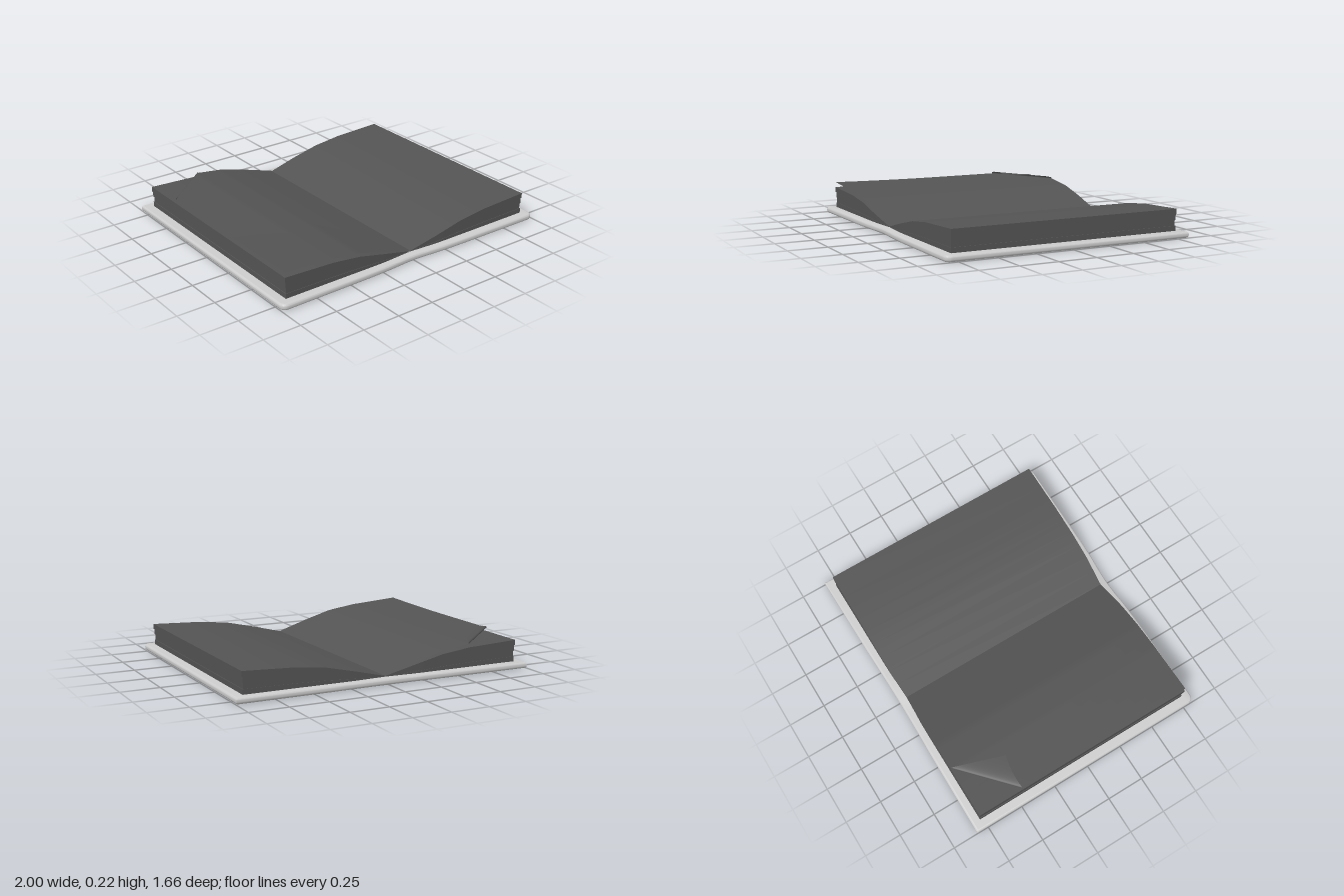
import * as THREE from 'three';
import { toCreasedNormals } from 'three/addons/utils/BufferGeometryUtils.js';
import { ParametricGeometry } from 'three/addons/geometries/ParametricGeometry.js';

const lerp = THREE.MathUtils.lerp;
const paper = new THREE.MeshStandardMaterial({ color: 0x545454, side: THREE.DoubleSide });
const board = new THREE.MeshStandardMaterial({ color: 0xcccccc });

// Piecewise-linear curve through [x, y] points
function curve(points) {
  return (x) => {
    let i = 1;
    while (i < points.length - 1 && x > points[i][0]) i++;
    const [x0, y0] = points[i - 1], [x1, y1] = points[i];
    return lerp(y0, y1, (x - x0) / (x1 - x0));
  };
}

const stackTop = curve([[0, 0.045], [0.2, 0.095], [0.4, 0.141], [0.6, 0.165], [0.95, 0.18]]);
const leafTop = curve([[0, 0.05], [0.2, 0.108], [0.4, 0.163], [0.6, 0.188], [0.94, 0.204]]);
const frontZ = curve([[0, 0.755], [0.22, 0.77], [0.95, 0.77]]);
const backZ = curve([[0, -0.764], [0.22, -0.775], [0.95, -0.775]]);

function mesh(name, geometry, material) {
  const m = new THREE.Mesh(geometry, material);
  m.name = name;
  return m;
}

// Block of pages lofted from the gutter to the outer edge
function pageBlock(side, low, high, outer, inset) {
  const stations = [0, 0.1, 0.2, 0.3, 0.4, 0.5, 0.6, 0.78, outer];
  const pos = [], idx = [];
  for (const x of stations) {
    const y = (f) => 0.038 + (stackTop(x) - 0.038) * f;
    const f = frontZ(x) - inset, b = backZ(x) + inset;
    pos.push(side * x, y(low), f, side * x, y(high), f, side * x, y(high), b, side * x, y(low), b);
  }
  const quad = (a, b, c, d) => (side > 0 ? idx.push(a, b, c, a, c, d) : idx.push(a, c, b, a, d, c));
  const last = (stations.length - 1) * 4;
  for (let r = 0; r < last; r += 4) {
    for (let k = 0; k < 4; k++) {
      const n = (k + 1) % 4;
      quad(r + k, r + 4 + k, r + 4 + n, r + n);
    }
  }
  quad(0, 1, 2, 3);
  quad(last + 3, last + 2, last + 1, last);
  const g = new THREE.BufferGeometry();
  g.setAttribute('position', new THREE.Float32BufferAttribute(pos, 3));
  g.setIndex(idx);
  return toCreasedNormals(g, 0.5);
}

// Cover board with rounded rim and a slight waist at the spine
function coverGeometry() {
  const bevel = 0.015, w = 1 - bevel, f = 0.828 - bevel, b = 0.83 - bevel;
  const s = new THREE.Shape();
  s.moveTo(-w, -f + 0.03);
  s.quadraticCurveTo(-w, -f, -w + 0.03, -f);
  s.lineTo(-0.4, -f + 0.005);
  s.bezierCurveTo(-0.15, -f + 0.008, -0.1, -f + 0.023, 0, -f + 0.023);
  s.bezierCurveTo(0.1, -f + 0.023, 0.15, -f + 0.008, 0.4, -f + 0.005);
  s.lineTo(w - 0.03, -f);
  s.quadraticCurveTo(w, -f, w, -f + 0.03);
  s.lineTo(w, b);
  s.lineTo(0.4, b - 0.005);
  s.quadraticCurveTo(0, b - 0.018, -0.4, b - 0.005);
  s.lineTo(-w, b);
  const g = new THREE.ExtrudeGeometry(s, {
    depth: 0.01, bevelEnabled: true, bevelThickness: bevel, bevelSize: bevel, bevelSegments: 4, curveSegments: 8,
  });
  g.rotateX(-Math.PI / 2);
  g.translate(0, bevel, 0);
  return toCreasedNormals(g, 0.7);
}

// Height of the lifted leaf; its front outer edge curls up a little
function leafY(x, z) {
  const curl = Math.max(0, z / 0.77) ** 2 * 0.011;
  return leafTop(-x) + curl * Math.max(0, -x / 0.94) ** 2;
}

// Crease of the dog-ear runs diagonally across the back outer corner
const creaseA = [-0.94, -0.46], creaseB = [-0.59, -0.775], tip = [-0.71, -0.44];

function leafGeometry() {
  return new ParametricGeometry((u, v, p) => {
    // put a column of vertices exactly where the crease begins
    const x = u < 0.5 ? lerp(creaseA[0], creaseB[0], u * 2) : lerp(creaseB[0], 0, u * 2 - 1);
    const back = u < 0.5 ? lerp(creaseA[1], creaseB[1], u * 2) : backZ(-x);
    const z = lerp(frontZ(-x), back, v);
    p.set(x, leafY(x, z), z);
  }, 24, 16);
}

function dogEarGeometry() {
  return new ParametricGeometry((s, t, p) => {
    const k = t * t;
    const x = lerp(lerp(creaseA[0], creaseB[0], s), tip[0], k);
    const bow = 0.012 * Math.sin(Math.PI * k) * (1 - s);
    const z = lerp(lerp(creaseA[1], creaseB[1], s), tip[1], k) - bow;
    p.set(x, leafY(x, z) + 0.03 * Math.pow(k, 0.3), z);
  }, 8, 12);
}

export function createModel() {
  const book = new THREE.Group();
  book.name = 'openBook';
  book.add(mesh('cover', coverGeometry(), board));

  // Each half is four bundles of pages with slightly uneven edges
  const bundles = [[0, 0.24, 0.938, 0.002], [0.24, 0.5, 0.933, 0.005], [0.5, 0.76, 0.938, 0.002], [0.76, 1, 0.943, 0]];
  for (const side of [-1, 1]) {
    const half = new THREE.Group();
    half.name = side > 0 ? 'leftPages' : 'rightPages';
    bundles.forEach(([low, high, outer, inset], i) => {
      half.add(mesh('pageBundle' + (i + 1), pageBlock(side, low, high, outer, inset), paper));
    });
    book.add(half);
  }

  // Single raised leaf with its folded corner
  book.add(mesh('raisedLeaf', leafGeometry(), paper));
  book.add(mesh('foldedCorner', dogEarGeometry(), paper));
  return book;
}
